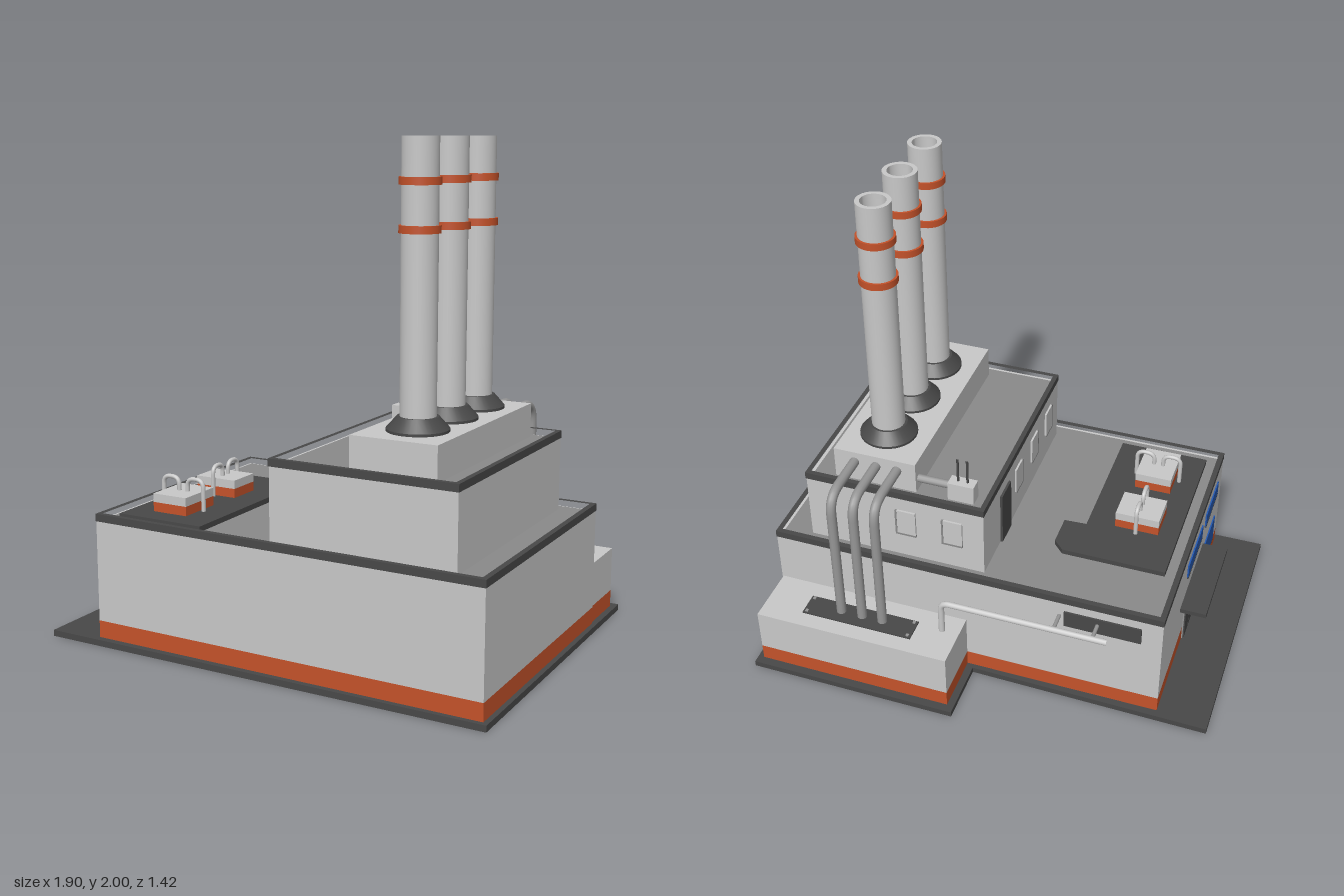
import * as THREE from 'three';
import { toCreasedNormals } from 'three/addons/utils/BufferGeometryUtils.js';

export function createModel() {
  const group = new THREE.Group();
  const mat = (name, color) => {
    const m = new THREE.MeshStandardMaterial({ color });
    m.name = name;
    return m;
  };
  const wall = mat('light wall grey', 0xc8c8c8);
  const dark = mat('dark grey', 0x484848);
  const roof = mat('roof grey', 0x8a8a8a);
  const orange = mat('orange trim', 0xc4522a);
  const steel = mat('pipe grey', 0x969696);
  const blue = mat('window blue', 0x2458b0);

  const add = (name, geo, material) => {
    const mesh = new THREE.Mesh(geo, material);
    mesh.name = name;
    group.add(mesh);
    return mesh;
  };
  // box given by its limits on each axis
  const box = (name, m, x0, x1, y0, y1, z0, z1) => {
    const mesh = add(name, new THREE.BoxGeometry(x1 - x0, y1 - y0, z1 - z0), m);
    mesh.position.set((x0 + x1) / 2, (y0 + y1) / 2, (z0 + z1) / 2);
    return mesh;
  };
  // flat plan outline (x, z pairs) raised from y0 to y1
  const slab = (name, m, pts, y0, y1, hole) => {
    const shape = new THREE.Shape(pts.map(([x, z]) => new THREE.Vector2(x, -z)));
    if (hole) shape.holes.push(new THREE.Path(hole.map(([x, z]) => new THREE.Vector2(x, -z))));
    const geo = new THREE.ExtrudeGeometry(shape, { depth: y1 - y0, bevelEnabled: false });
    geo.rotateX(-Math.PI / 2);
    add(name, geo, m).position.y = y0;
  };
  const rect = (x0, x1, z0, z1) => [[x0, z0], [x1, z0], [x1, z1], [x0, z1]];
  const rim = (name, x0, x1, y0, y1, z0, z1, w) =>
    slab(name, dark, rect(x0, x1, z0, z1), y0, y1, rect(x0 + w, x1 - w, z0 + w, z1 - w));
  const rod = (name, m, r, a, b) => {
    const path = new THREE.LineCurve3(new THREE.Vector3(...a), new THREE.Vector3(...b));
    add(name, new THREE.TubeGeometry(path, 1, r, 12), m);
  };
  // pipe through points with rounded corners of radius c
  const pipe = (name, m, r, c, points) => {
    const p = points.map((a) => new THREE.Vector3(...a));
    const path = new THREE.CurvePath();
    let from = p[0];
    for (let i = 1; i < p.length - 1; i++) {
      const a = p[i].clone().add(p[i - 1].clone().sub(p[i]).setLength(c));
      const b = p[i].clone().add(p[i + 1].clone().sub(p[i]).setLength(c));
      path.add(new THREE.LineCurve3(from, a));
      path.add(new THREE.QuadraticBezierCurve3(a, p[i], b));
      from = b;
    }
    path.add(new THREE.LineCurve3(from, p[p.length - 1]));
    add(name, new THREE.TubeGeometry(path, 60, r, 12), m);
  };

  // ground slab
  slab('groundSlab', dark, [[-0.95, -0.465], [0.06, -0.45], [0.06, -0.71], [0.95, -0.71],
    [0.95, 0.7], [-0.95, 0.71]], 0, 0.025);

  // main hall with orange plinth, roof and parapet
  box('mainPlinth', orange, -0.735, 0.93, 0.025, 0.095, -0.43, 0.68);
  box('mainWalls', wall, -0.735, 0.93, 0.095, 0.505, -0.43, 0.68);
  box('mainRoof', roof, -0.72, 0.915, 0.502, 0.508, -0.415, 0.665);
  rim('mainParapet', -0.737, 0.932, 0.505, 0.535, -0.432, 0.682, 0.022);

  // rear annex
  box('annexPlinth', orange, 0.09, 0.925, 0.025, 0.095, -0.675, -0.425);
  box('annexWalls', wall, 0.09, 0.925, 0.095, 0.28, -0.675, -0.425);
  box('annexVent', dark, 0.27, 0.75, 0.278, 0.286, -0.607, -0.507);
  for (const x of [0.285, 0.735]) for (const z of [-0.595, -0.519])
    box('ventBolt', steel, x - 0.006, x + 0.006, 0.284, 0.291, z - 0.006, z + 0.006);

  // upper hall
  box('upperWalls', wall, 0.03, 0.795, 0.505, 0.805, -0.365, 0.615);
  box('upperRoof', roof, 0.045, 0.78, 0.802, 0.808, -0.35, 0.6);
  rim('upperParapet', 0.027, 0.798, 0.805, 0.835, -0.368, 0.618, 0.02);
  box('upperDoor', dark, 0.02, 0.032, 0.508, 0.75, -0.165, -0.055);

  // framed blind windows of the upper hall: panel, side and sill
  for (const z of [0.06, 0.27, 0.47]) {
    box('upperWindow', wall, 0.022, 0.031, 0.63, 0.745, z - 0.04, z + 0.04);
    box('windowSide', roof, 0.021, 0.031, 0.63, 0.745, z + 0.04, z + 0.048);
    box('windowSill', roof, 0.021, 0.031, 0.622, 0.63, z - 0.04, z + 0.048);
  }
  for (const x of [0.16, 0.36]) {
    box('rearWindow', wall, x - 0.04, x + 0.04, 0.63, 0.745, -0.374, -0.364);
    box('windowSide', roof, x + 0.04, x + 0.048, 0.63, 0.745, -0.375, -0.364);
    box('windowSill', roof, x - 0.04, x + 0.048, 0.622, 0.63, -0.375, -0.364);
  }

  // chimney base
  box('chimneyBase', wall, 0.335, 0.687, 0.805, 0.945, -0.31, 0.557);

  // chimneys with dark footings and orange rings
  const lathe = (pts) => toCreasedNormals(
    new THREE.LatheGeometry(pts.map(([x, y]) => new THREE.Vector2(x, y)), 32), 0.6);
  const stack = lathe([[0.068, 0.95], [0.068, 2], [0.05, 2], [0.05, 1.9], [0, 1.9]]);
  const footing = lathe([[0.118, 0.94], [0.118, 0.955], [0.078, 1], [0.06, 1]]);
  const ring = new THREE.CylinderGeometry(0.077, 0.077, 0.028, 32);
  for (const z of [-0.135, 0.118, 0.37]) {
    add('chimney', stack, wall).position.set(0.518, 0, z);
    add('chimneyFooting', footing, dark).position.set(0.518, 0, z);
    for (const y of [1.675, 1.845]) add('chimneyRing', ring, orange).position.set(0.518, y, z);
  }

  // exhaust pipes down to the annex
  for (const x of [0.415, 0.505, 0.598])
    pipe('exhaustPipe', steel, 0.02, 0.085, [[x, 0.9, -0.3], [x, 0.9, -0.55], [x, 0.28, -0.55]]);

  // small roof cabinet with duct and antennas
  box('roofCabinet', wall, 0.09, 0.2, 0.805, 0.89, -0.31, -0.255);
  rod('cabinetDuct', steel, 0.017, [0.195, 0.86, -0.28], [0.34, 0.86, -0.28]);
  for (const x of [0.125, 0.165]) rod('antenna', dark, 0.005, [x, 0.88, -0.28], [x, 1, -0.28]);

  // rear service pipe, brackets and grille
  pipe('servicePipe', wall, 0.013, 0.035, [[-0.53, 0.435, -0.515], [0.165, 0.435, -0.515], [0.165, 0.28, -0.515]]);
  for (const x of [-0.47, -0.31]) rod('pipeBracket', steel, 0.008, [x, 0.435, -0.515], [x, 0.435, -0.425]);
  box('rearGrille', dark, -0.65, -0.33, 0.39, 0.465, -0.438, -0.428);

  // roof pad with two cooling units
  slab('roofPad', dark, [[-0.67, -0.155], [-0.235, -0.155], [-0.19, -0.11], [-0.19, 0.025],
    [-0.285, 0.03], [-0.285, 0.615], [-0.67, 0.615]], 0.505, 0.53);
  const unit = (x, z, w, d, alongX) => {
    box('coolerBase', orange, x - w, x + w, 0.528, 0.568, z - d, z + d);
    box('coolerTop', wall, x - w, x + w, 0.568, 0.603, z - d, z + d);
    const reach = (alongX ? w : d) + 0.018;
    for (const s of [-1, 1]) {
      const at = (t, y) => (alongX ? [x + s * t, y, z] : [x, y, z + s * t]);
      pipe('coolerPipe', wall, 0.009, 0.034,
        [at(0.02, 0.59), at(0.02, 0.655), at(reach, 0.655), at(reach, 0.53)]);
    }
  };
  unit(-0.495, 0.128, 0.093, 0.072, false);
  unit(-0.493, 0.428, 0.078, 0.095, true);

  // entrance with awning, doors and blue windows on the side wall
  box('awning', dark, -0.845, -0.73, 0.265, 0.285, -0.09, 0.34);
  for (const z of [0.045, 0.125, 0.205])
    box('entranceDoor', dark, -0.745, -0.733, 0.025, 0.235, z - 0.036, z + 0.036);
  box('doorFrame', steel, -0.74, -0.733, 0.025, 0.24, 0, 0.25);
  const panes = [[0.0, 0.27, 0.385, 0.45], [0.34, 0.58, 0.385, 0.45], [0.34, 0.58, 0.12, 0.25]];
  for (const [z0, z1, y0, y1] of panes) {
    box('sideWindow', blue, -0.741, -0.733, y0, y1, z0, z1);
    box('windowLedge', dark, -0.742, -0.733, y0 - 0.008, y0, z0, z1);
  }
  return group;
}
